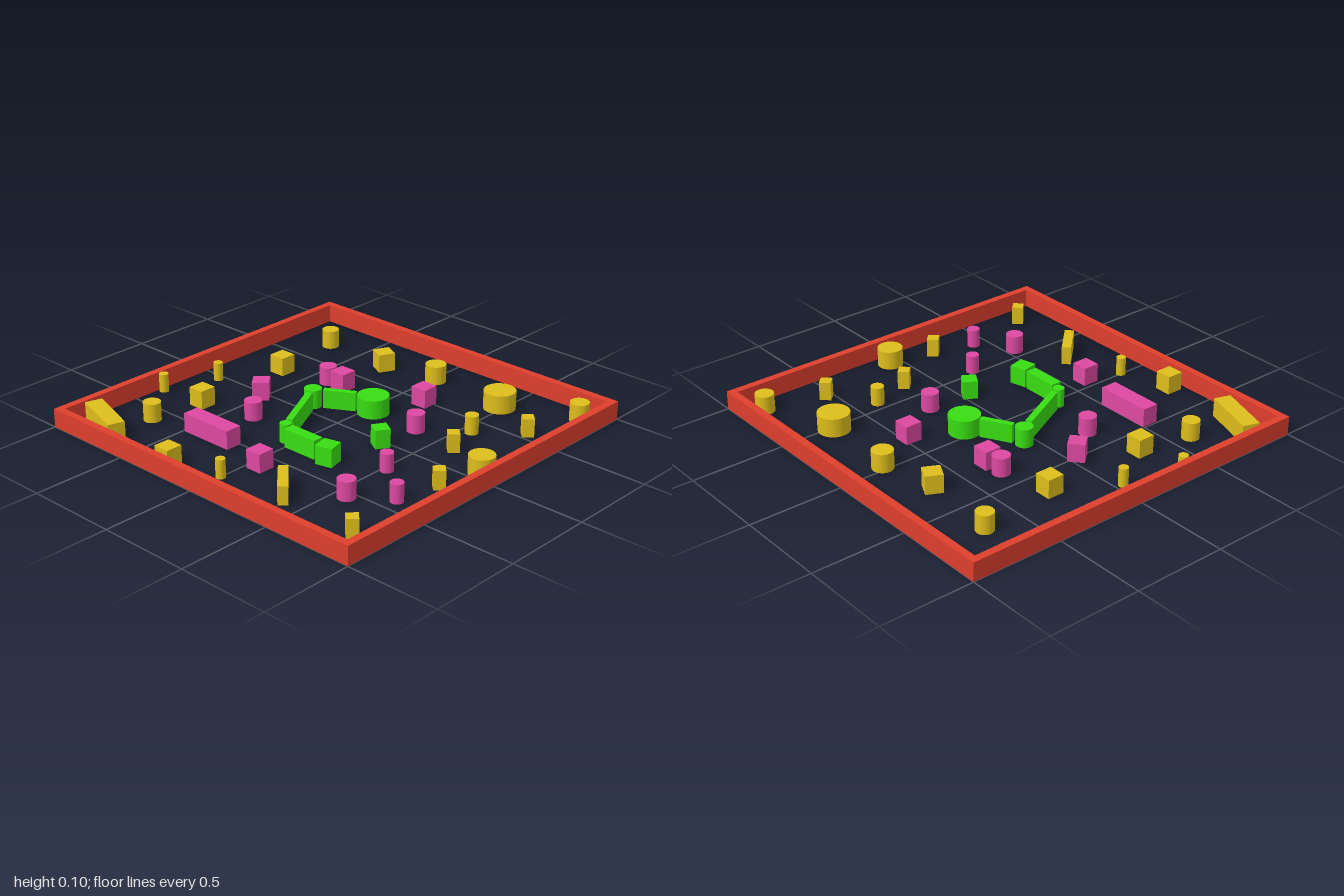
import * as THREE from 'three';

const H = 0.1; // every part stands on the ground at the same height
const paint = (color) => new THREE.MeshStandardMaterial({ color });
const red = paint(0xdd3e2c), yellow = paint(0xddbd1b), magenta = paint(0xdd48a0), green = paint(0x38dd12);

function place(group, name, geometry, material, x, z, degrees = 0) {
  const mesh = new THREE.Mesh(geometry, material);
  mesh.name = name;
  mesh.position.set(x, H / 2, z);
  mesh.rotation.y = THREE.MathUtils.degToRad(degrees);
  group.add(mesh);
}

// posts: [x, z, radius]; blocks: [x, z, width, depth, degrees]
function cluster(name, material, posts, blocks) {
  const group = new THREE.Group();
  group.name = name;
  for (const [x, z, r] of posts)
    place(group, 'post', new THREE.CylinderGeometry(r, r, H, 40), material, x, z);
  for (const [x, z, w, d = w, a = 0] of blocks)
    place(group, d === w ? 'block' : 'bar', new THREE.BoxGeometry(w, H, d), material, x, z, a);
  return group;
}

// Square border wall, open above and below
function borderWall() {
  const shape = new THREE.Shape();
  shape.moveTo(-1, -1).lineTo(1, -1).lineTo(1, 1).lineTo(-1, 1).closePath();
  const hole = new THREE.Path(), i = 0.96;
  hole.moveTo(-i, -i).lineTo(-i, i).lineTo(i, i).lineTo(i, -i).closePath();
  shape.holes.push(hole);
  const geometry = new THREE.ExtrudeGeometry(shape, { depth: H, bevelEnabled: false });
  geometry.rotateX(-Math.PI / 2);
  const mesh = new THREE.Mesh(geometry, red);
  mesh.name = 'borderWall';
  return mesh;
}

export function createModel() {
  const model = new THREE.Group();
  model.name = 'arena';
  model.add(borderWall());

  // Central chain of linked posts and bars
  model.add(cluster('centreObstacles', green,
    [[0.048, -0.216, 0.083], [-0.235, -0.067, 0.046], [-0.045, 0.323, 0.03]],
    [
      [-0.11, -0.137, 0.172, 0.033, 29],
      [-0.135, 0.133, 0.33, 0.035, -63.5],
      [0.097, 0.345, 0.2, 0.06],
      [0.265, 0.348, 0.092, 0.092, 14],
      [0.325, 0.037, 0.078, 0.078, -31],
    ]));

  // Middle ring
  model.add(cluster('middleObstacles', magenta,
    [
      [-0.375, -0.329, 0.046], [0.342, -0.206, 0.046], [-0.353, 0.245, 0.046],
      [0.527, 0.219, 0.034], [0.765, 0.417, 0.034], [0.572, 0.548, 0.046],
    ],
    [
      [0.165, -0.475, 0.091], [-0.273, -0.331, 0.091], [-0.503, 0.042, 0.088, 0.088, 40],
      [0.067, 0.61, 0.091], [-0.337, 0.543, 0.307, 0.091],
    ]));

  // Outer ring
  model.add(cluster('outerObstacles', yellow,
    [
      [-0.711, -0.703, 0.046], [0.025, -0.735, 0.056], [0.48, -0.703, 0.084],
      [0.863, -0.863, 0.05], [0.561, -0.377, 0.035], [0.873, -0.067, 0.067],
      [-0.83, 0.04, 0.025], [-0.93, 0.335, 0.025], [-0.711, 0.607, 0.046], [0.002, 0.805, 0.025],
    ],
    [
      [-0.285, -0.671, 0.091, 0.091, -27], [-0.655, -0.267, 0.091], [-0.658, 0.313, 0.091],
      [-0.28, 0.882, 0.091], [-0.79, 0.847, 0.306, 0.092, -18.4], [0.342, 0.73, 0.21, 0.05, -46],
      [0.78, -0.545, 0.06, 0.06, 45], [0.62, -0.163, 0.06, 0.06, 45],
      [0.818, 0.18, 0.06, 0.06, 45], [0.832, 0.791, 0.06, 0.06, 45],
    ]));
  return model;
}
